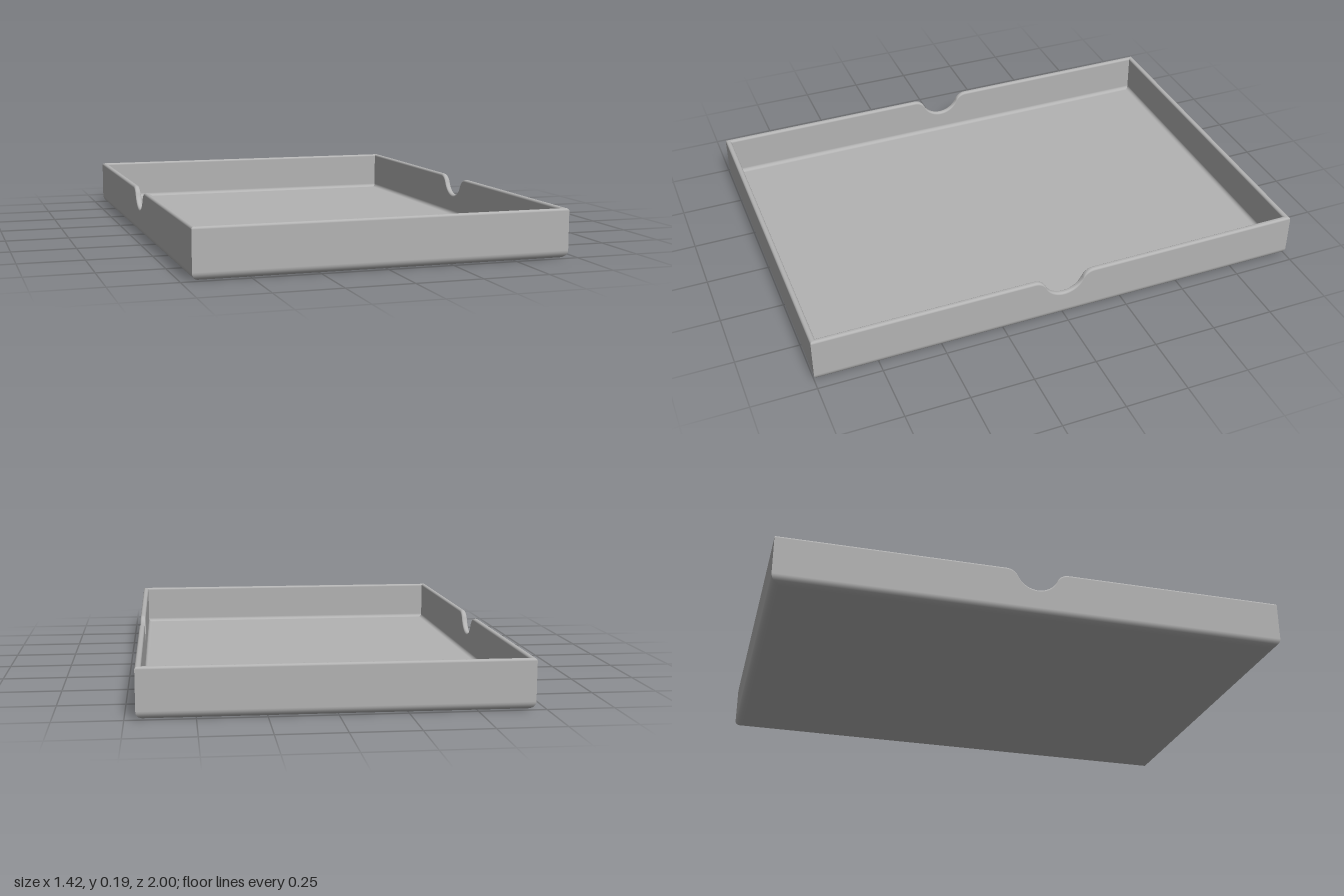
import * as THREE from 'three';

const HALF_X = 0.71, HALF_Z = 1, HEIGHT = 0.187;
const WALL = 0.022, FLOOR_Y = 0.022;
const R_BASE = 0.03, R_RIM = 0.009, R_INNER = 0.015;

// Wall cross-section from underside to floor: inset from outside, height,
// normal (outward, up), and whether the point follows the rim
function wallProfile() {
  const points = [];
  const arc = (cd, cy, r, from, to, sign, rim) => {
    const steps = 6;
    for (let i = 0; i <= steps; i++) {
      const a = THREE.MathUtils.degToRad(from + (to - from) * i / steps);
      const c = Math.cos(a), s = Math.sin(a);
      points.push({ d: cd - r * c, y: cy + r * s, n: [sign * c, sign * s], rim });
    }
  };
  arc(R_BASE, R_BASE, R_BASE, -90, 0, 1, false);
  arc(R_RIM, -R_RIM, R_RIM, 0, 90, 1, true);
  arc(WALL - R_RIM, -R_RIM, R_RIM, 90, 180, 1, true);
  arc(WALL + R_INNER, FLOOR_Y + R_INNER, R_INNER, 0, -90, -1, false);
  return points;
}

// Finger notch: a scooped arc blended into the rim by two convex arcs
function notchStations() {
  const cy = 0.193, r = 0.086, blend = 0.05, by = HEIGHT - blend;
  const bz = Math.sqrt((r + blend) ** 2 - (cy - by) ** 2);
  const limit = Math.atan2(bz, cy - by);
  const half = [];
  for (let i = 0; i <= 12; i++) {
    const a = limit * i / 12;
    half.push({ z: r * Math.sin(a), h: cy - r * Math.cos(a), slope: Math.tan(a) });
  }
  for (let i = 1; i <= 10; i++) {
    const a = limit * (1 - i / 10);
    half.push({ z: bz - blend * Math.sin(a), h: by + blend * Math.cos(a), slope: Math.tan(a) });
  }
  const mirrored = half.slice(1).reverse().map(p => ({ z: -p.z, h: p.h, slope: -p.slope }));
  return [...mirrored, ...half];
}

// One wall facing +x, mitred at both ends
function wallGeometry(reach, halfLength, notch) {
  const profile = wallProfile();
  const stations = [
    { end: -1, h: HEIGHT, slope: 0 },
    ...(notch ? notchStations() : []),
    { end: 1, h: HEIGHT, slope: 0 },
  ];
  const pos = [], nor = [], index = [];
  const count = profile.length;
  stations.forEach((s, j) => profile.forEach((p, i) => {
    const z = s.end ? s.end * (halfLength - p.d) : s.z;
    pos.push(reach - p.d, p.y + (p.rim ? s.h : 0), z);
    const n = new THREE.Vector3(p.n[0], p.n[1], p.rim ? -p.n[1] * s.slope : 0).normalize();
    nor.push(n.x, n.y, n.z);
    if (j < stations.length - 1 && i < count - 1) {
      const a = j * count + i, c = a + count;
      index.push(a, a + 1, c, a + 1, c + 1, c);
    }
  }));
  const g = new THREE.BufferGeometry();
  g.setAttribute('position', new THREE.Float32BufferAttribute(pos, 3));
  g.setAttribute('normal', new THREE.Float32BufferAttribute(nor, 3));
  g.setIndex(index);
  return g;
}

export function createModel() {
  const tray = new THREE.Group();
  tray.name = 'tray';
  const grey = new THREE.MeshStandardMaterial({ color: 0xb3b3b3 });
  grey.name = 'plain grey';

  const add = (name, geometry) => {
    const mesh = new THREE.Mesh(geometry, grey);
    mesh.name = name;
    tray.add(mesh);
    return mesh;
  };

  // Notched long walls and plain end walls
  const longWall = wallGeometry(HALF_X, HALF_Z, true);
  const endWall = wallGeometry(HALF_Z, HALF_X, false);
  add('leftWall', longWall);
  add('rightWall', longWall).rotation.y = Math.PI;
  add('frontWall', endWall).rotation.y = -Math.PI / 2;
  add('backWall', endWall).rotation.y = Math.PI / 2;

  // Flat floor and underside, meeting the wall fillets
  const plate = (name, inset, y, tilt) => {
    const g = new THREE.PlaneGeometry(2 * (HALF_X - inset), 2 * (HALF_Z - inset));
    add(name, g.rotateX(tilt).translate(0, y, 0));
  };
  plate('floor', WALL + R_INNER, FLOOR_Y, -Math.PI / 2);
  plate('underside', R_BASE, 0, Math.PI / 2);

  return tray;
}
